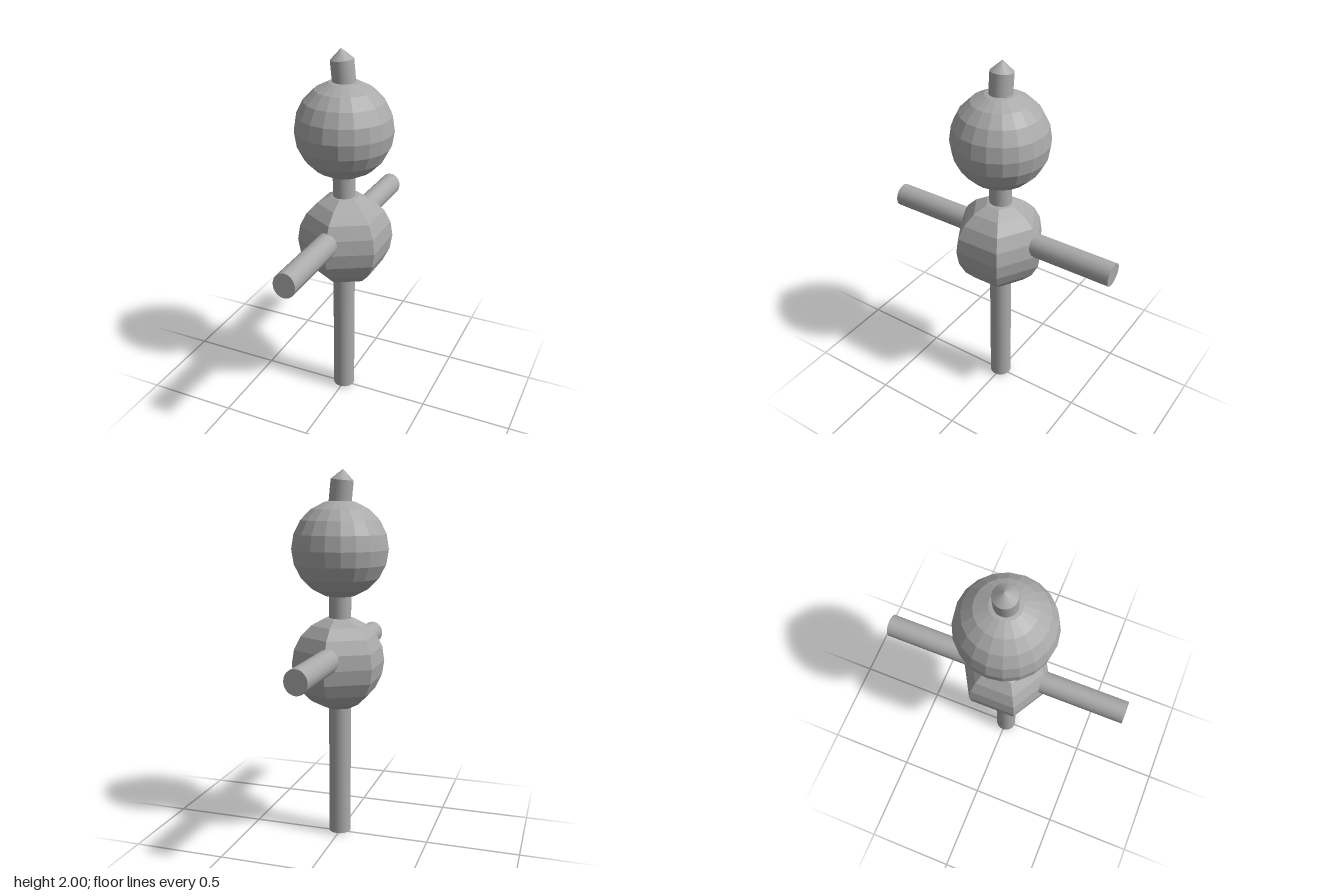
import * as THREE from 'three';

export function createModel() {
  const model = new THREE.Group();
  model.name = 'stickFigure';
  const grey = new THREE.MeshStandardMaterial({ name: 'plain grey', color: 0xaaaaaa });

  function add(name, geometry, x, y, z, flat = true) {
    let geo = geometry;
    if (flat) {
      geo = geometry.toNonIndexed();
      geo.computeVertexNormals();
    }
    const mesh = new THREE.Mesh(geo, grey);
    mesh.name = name;
    mesh.position.set(x, y, z);
    model.add(mesh);
    return mesh;
  }

  const R = 0.06;

  // Upright pole: leg and neck, with a very shallow pointed foot
  add('pole', new THREE.CylinderGeometry(R, R, 1.79, 24, 1, true), 0, 0.905, 0, false);
  add('foot', new THREE.ConeGeometry(R, 0.01, 24, 1, true).rotateX(Math.PI), 0, 0.005, 0);

  // Six-panelled torso with ridges at the front and back
  add('torso', new THREE.SphereGeometry(0.257, 6, 10, Math.PI / 6), 0.008, 0.98, 0);

  // Faceted head
  add('head', new THREE.SphereGeometry(0.257, 20, 10), 0, 1.59, 0);

  // Arms: one bar from front to back, with slightly slanted ends
  const bar = new THREE.CylinderGeometry(R, R, 1.353, 24).rotateX(Math.PI / 2);
  bar.scale(1, 1.09, 1);
  bar.applyMatrix4(new THREE.Matrix4().set(
    1, 0, 0, 0,
    0, 1, 0.004, 0,
    0, -0.06, 1, 0,
    0, 0, 0, 1));
  add('arms', bar, 0, 1.03, 0, false);

  // Leaning topknot: short stem with a cone tip
  const topknot = new THREE.Group();
  topknot.name = 'topknot';
  topknot.position.set(0.003, 1.8, 0);
  topknot.rotation.z = 0.1;
  topknot.add(add('topknotStem', new THREE.CylinderGeometry(R, R, 0.146, 24, 1, true), 0, 0.073, 0, false));
  topknot.add(add('topknotTip', new THREE.ConeGeometry(R, 0.055, 24, 1, true), 0, 0.1735, 0, false));
  model.add(topknot);

  return model;
}
